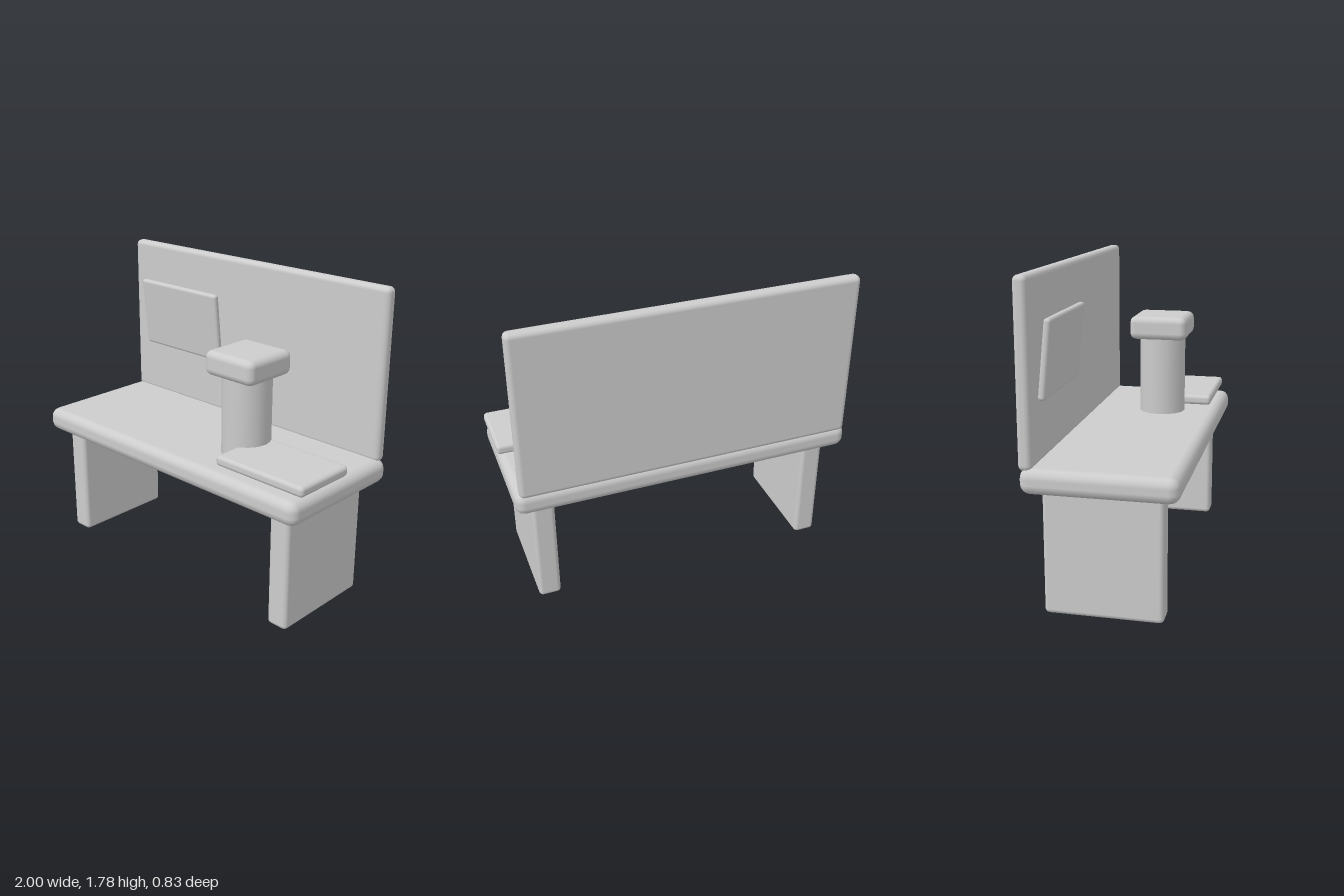
import * as THREE from 'three';
import { RoundedBoxGeometry } from 'three/addons/geometries/RoundedBoxGeometry.js';

export function createModel() {
  const model = new THREE.Group();
  model.name = 'bench';
  const grey = new THREE.MeshStandardMaterial({ color: 0xcccccc });
  grey.name = 'light grey';

  // Box with softened edges, given by its [min, max] range on each axis
  function slab(name, [x0, x1], [y0, y1], [z0, z1], radius) {
    const mesh = new THREE.Mesh(new RoundedBoxGeometry(x1 - x0, y1 - y0, z1 - z0, 2, radius), grey);
    mesh.name = name;
    mesh.position.set((x0 + x1) / 2, (y0 + y1) / 2, (z0 + z1) / 2);
    model.add(mesh);
    return mesh;
  }

  // Table top on two panel legs
  slab('tableTop', [-1, 0.99], [0.68, 0.82], [-0.41, 0.415], 0.055);
  slab('rightLeg', [-0.905, -0.775], [0, 0.70], [-0.315, 0.325], 0.025);
  slab('leftLeg', [0.76, 0.89], [0, 0.70], [-0.315, 0.325], 0.025);

  // Upright back panel with a tilted board in front of it
  slab('backPanel', [-0.98, 0.965], [0.8, 1.785], [-0.415, -0.34], 0.03);
  const board = slab('tiltedBoard', [-0.845, -0.2], [1.135, 1.56], [-0.323, -0.283], 0.018);
  board.rotation.x = 0.1;

  // Column with a block cap
  const column = new THREE.Mesh(new THREE.CylinderGeometry(0.14, 0.14, 0.52, 16), grey);
  column.name = 'column';
  column.position.set(0.366, 1.06, 0.07);
  model.add(column);
  slab('columnCap', [0.195, 0.54], [1.28, 1.42], [-0.105, 0.24], 0.04);

  // Flat tray just above the table
  slab('tray', [0.405, 1], [0.845, 0.905], [-0.025, 0.365], 0.022);

  return model;
}
